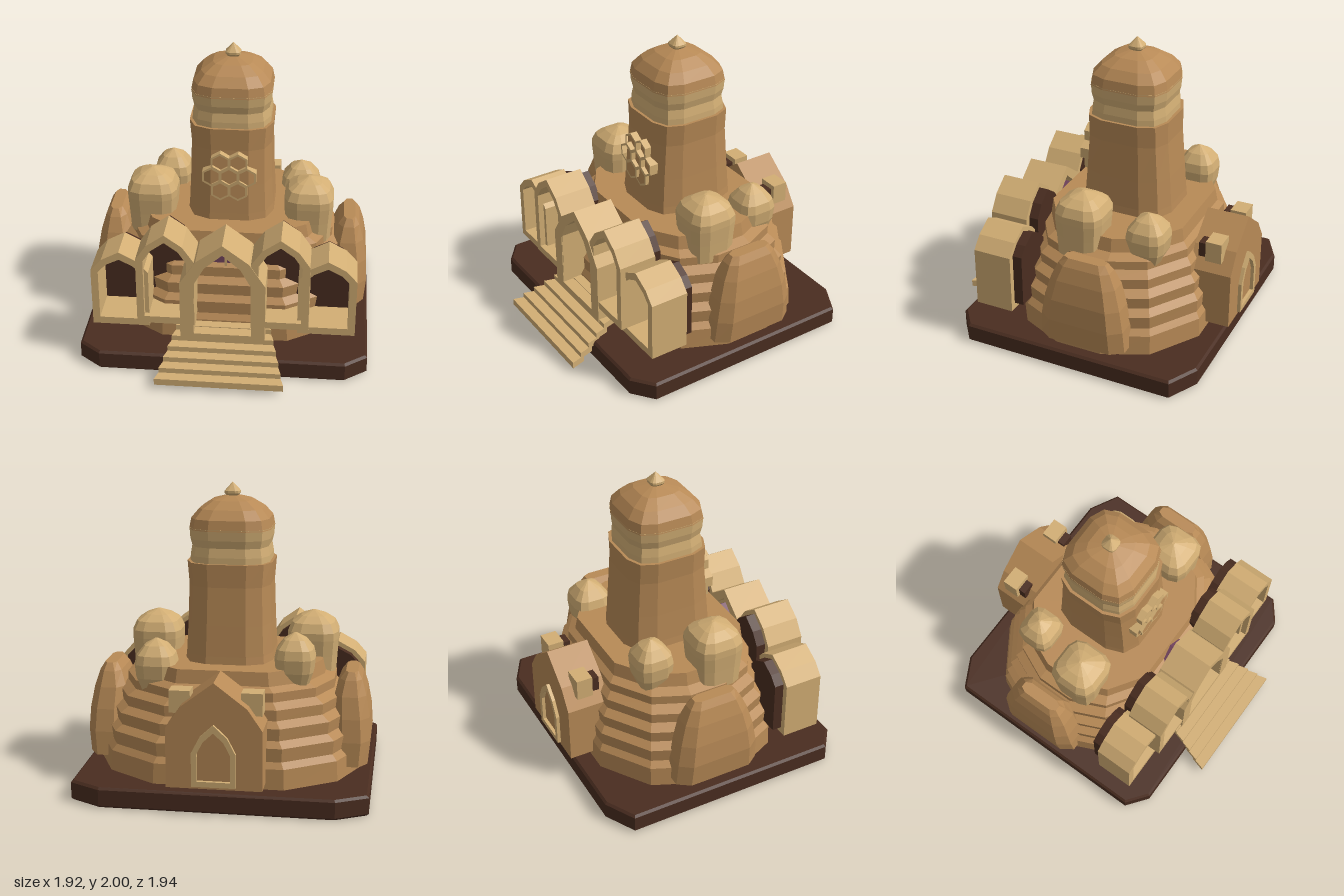
import * as THREE from 'three';

const mat = (color) => new THREE.MeshStandardMaterial({ color, flatShading: true });
const clay = mat(0xb88a56), sand = mat(0xd2ae74), dark = mat(0x4a2d20), plum = mat(0x74455f);

// Mirrors a quarter outline [x, z] (running from the +x side to the +z side) into a full ring
function ring(quarter) {
  const back = [...quarter].reverse();
  return [
    ...quarter,
    ...back.map(([x, z]) => [-x, z]),
    ...quarter.map(([x, z]) => [-x, -z]),
    ...back.map(([x, z]) => [x, -z]),
  ];
}
const BODY = ring([[1, 0.24], [0.85, 0.68], [0.48, 1]]);
const ROUND = ring([[1, 0.46], [0.84, 0.84], [0.46, 1]]);
const FIN = ring([[1, 0.72], [0.5, 1]]);

// Skins rows of [y, halfX, halfZ, offsetX] over a ring, with closed ends
function loft(section, rows) {
  const n = section.length, pos = [], idx = [];
  rows.forEach(([y, hx, hz, ox = 0]) => section.forEach(([x, z]) => pos.push(ox + x * hx, y, z * hz)));
  for (let r = 0; r < rows.length - 1; r++) {
    for (let i = 0; i < n; i++) {
      const a = r * n + i, b = r * n + (i + 1) % n;
      idx.push(a, a + n, b, b, a + n, b + n);
    }
  }
  const last = rows.length - 1, bottom = pos.length / 3, top = bottom + 1;
  pos.push(rows[0][3] || 0, rows[0][0], 0, rows[last][3] || 0, rows[last][0], 0);
  for (let i = 0; i < n; i++) {
    const j = (i + 1) % n;
    idx.push(bottom, i, j, top, last * n + j, last * n + i);
  }
  const g = new THREE.BufferGeometry();
  g.setAttribute('position', new THREE.Float32BufferAttribute(pos, 3));
  g.setIndex(idx);
  const flat = g.toNonIndexed();
  flat.computeVertexNormals();
  return flat;
}

// Pointed arch outline: half width, floor, springing height, apex height
const archPoints = (w, y0, ys, yt) => {
  const ym = ys + (yt - ys) * 0.56;
  return [[-w, y0], [w, y0], [w, ys], [w * 0.62, ym], [0, yt], [-w * 0.62, ym], [-w, ys]]
    .map(([x, y]) => new THREE.Vector2(x, y));
};

// Extrudes an outline between two depths, with an optional hole
function slab(points, z0, z1, hole) {
  const shape = new THREE.Shape(points);
  if (hole) shape.holes.push(new THREE.Path(hole));
  return new THREE.ExtrudeGeometry(shape, { depth: z1 - z0, bevelEnabled: false }).translate(0, 0, z0);
}

export function createModel() {
  const model = new THREE.Group();
  const add = (name, geometry, material, x = 0, y = 0, z = 0, parent = model) => {
    const m = new THREE.Mesh(geometry, material);
    m.name = name;
    m.position.set(x, y, z);
    parent.add(m);
    return m;
  };
  const box = (w, h, d) => new THREE.BoxGeometry(w, h, d);

  // Base slab with cut corners and a slim bevel
  const plan = [[-0.81, -0.765], [0.81, -0.765], [0.945, -0.66], [0.945, 0.79], [0.75, 0.895],
    [-0.75, 0.895], [-0.945, 0.79], [-0.945, -0.66]].map(([x, y]) => new THREE.Vector2(x, y));
  const base = new THREE.ExtrudeGeometry(new THREE.Shape(plan),
    { depth: 0.105, bevelSize: 0.015, bevelThickness: 0.015, bevelSegments: 1 });
  add('baseSlab', base.rotateX(-Math.PI / 2), dark, 0, 0.015, 0);

  // Rippled, terraced main body
  add('terracedBody', loft(BODY, [
    [0.12, 0.88, 0.665], [0.27, 0.87, 0.66], [0.31, 0.835, 0.635], [0.4, 0.845, 0.64],
    [0.44, 0.795, 0.605], [0.52, 0.805, 0.61], [0.56, 0.75, 0.57], [0.63, 0.755, 0.57],
    [0.67, 0.695, 0.53], [0.73, 0.695, 0.53], [0.76, 0.63, 0.49], [0.85, 0.61, 0.475],
  ]), clay, 0, 0, -0.12);

  // Central tower, collar, dome and finial
  add('tower', loft(ROUND, [
    [0.8, 0.295, 0.325], [0.9, 0.285, 0.315], [1.1, 0.275, 0.3], [1.35, 0.268, 0.28], [1.5, 0.28, 0.28],
  ]), clay, 0, 0, -0.13);
  add('towerCollar', loft(ROUND, [
    [1.49, 0.262, 0.262], [1.54, 0.26, 0.26], [1.6, 0.25, 0.25], [1.65, 0.262, 0.262], [1.72, 0.267, 0.267],
  ]), sand, 0, 0, -0.13);
  add('towerDome', loft(ROUND, [
    [1.71, 0.268, 0.268], [1.78, 0.255, 0.255], [1.84, 0.205, 0.205], [1.89, 0.13, 0.13], [1.92, 0.03, 0.03],
  ]), clay, 0, 0, -0.13);
  add('finial', loft(ROUND, [
    [1.91, 0.035, 0.035], [1.93, 0.05, 0.05], [1.945, 0.05, 0.05], [2, 0.002, 0.002],
  ]), sand, 0, 0, -0.13);

  // Honeycomb lattice on the tower front
  const lattice = new THREE.Group();
  lattice.name = 'honeycombLattice';
  model.add(lattice);
  const hex = (r) => Array.from({ length: 6 }, (_, i) =>
    new THREE.Vector2(Math.sin(i * Math.PI / 3) * r, Math.cos(i * Math.PI / 3) * r));
  const cell = slab(hex(0.071), 0.09, 0.2, hex(0.056));
  add('hexCell', cell, sand, 0, 1.175, 0, lattice);
  for (let i = 0; i < 6; i++) {
    const a = i * Math.PI / 3;
    add('hexCell', cell, sand, Math.cos(a) * 0.118, 1.175 + Math.sin(a) * 0.118, 0, lattice);
  }

  // Four small domes on the terrace: [x, z, radius, top]
  const wide = [[0.7, 0.9], [0.84, 0.95], [0.95, 1], [1.0, 1], [1.06, 0.84], [1.1, 0.5], [1.13, 0.06]];
  const bulb = [[0.64, 0.45], [0.78, 0.68], [0.88, 0.93], [0.97, 1], [1.03, 0.9], [1.09, 0.55], [1.13, 0.06]];
  [[-0.535, 0, 0.168, 1.135, wide], [0.53, 0, 0.166, 1.11, wide],
    [-0.45, -0.41, 0.13, 1.075, bulb], [0.46, -0.43, 0.135, 1.01, bulb]].forEach(([x, z, r, top, rows]) => {
    add('smallDome', loft(ROUND, rows.map(([y, k]) => [y + top - 1.13, r * k, r * k])), sand, x, 0, z);
  });

  // Curved side buttresses: outer face and half length by height
  const fin = [[0.19, 0.93, 0.3], [0.35, 0.945, 0.29], [0.5, 0.935, 0.265], [0.64, 0.91, 0.225],
    [0.74, 0.88, 0.18], [0.79, 0.85, 0.145]];
  for (const s of [-1, 1]) {
    add('sideButtress', loft(FIN, fin.map(([y, out, hz], i) => {
      const inner = i < 4 ? 0.7 : 0.7 + (i - 3) * 0.035;
      return [y, (out - inner) / 2, hz, s * (out + inner) / 2];
    })), clay, 0, 0, -0.15);
  }

  // Front arcade: deep pointed arches, dark panels behind the side ones
  add('entranceArch', slab(archPoints(0.28, 0.2, 0.64, 0.935), 0.4, 0.685, archPoints(0.19, 0.255, 0.63, 0.865)), sand);
  const bays = [
    { name: 'innerArch', x: 0.375, w: 0.19, y0: 0.32, ys: 0.8, yt: 0.99, z0: 0.415, z1: 0.68 },
    { name: 'outerArch', x: 0.68, w: 0.19, y0: 0.27, ys: 0.68, yt: 0.825, z0: 0.375, z1: 0.64 },
  ];
  for (const b of bays) {
    const frame = slab(archPoints(b.w, b.y0, b.ys, b.yt), b.z0, b.z1,
      archPoints(b.w - 0.048, b.y0 + 0.05, b.ys - 0.01, b.yt - 0.055));
    const panel = slab(archPoints(b.w - 0.04, b.y0 + 0.045, b.ys, b.yt - 0.035), b.z0 - 0.065, b.z0 + 0.01);
    for (const s of [-1, 1]) {
      add(b.name, frame, sand, s * b.x);
      add(b.name + 'Panel', panel, dark, s * b.x);
    }
  }

  // Pointed window with a centre bar, set in the terrace front
  const pane = [[-0.15, 0.64], [0.15, 0.64], [0.1, 0.75], [0, 0.825], [-0.1, 0.75]]
    .map(([x, y]) => new THREE.Vector2(x, y));
  add('entranceWindow', slab(pane, 0.3, 0.425), plum);
  add('windowBar', box(0.015, 0.13, 0.02), sand, 0, 0.685, 0.43);

  // Flared front staircase
  for (let i = 0; i < 6; i++) {
    const z1 = 0.97 - i * 0.073, z0 = z1 - 0.1;
    const half = (z) => 0.34 + (z - 0.68) * 0.28;
    const tread = [[-half(z1), -z1], [half(z1), -z1], [half(z0), -z0], [-half(z0), -z0]]
      .map(([x, y]) => new THREE.Vector2(x, y));
    add('step', slab(tread, 0, 0.046).rotateX(-Math.PI / 2), sand, 0, 0.034 + i * 0.036, 0);
  }

  // Gabled rear porch with a framed doorway
  const gable = [[-0.305, 0.18], [0.305, 0.18], [0.305, 0.57], [0.21, 0.71], [0, 0.87], [-0.21, 0.71], [-0.305, 0.57]]
    .map(([x, y]) => new THREE.Vector2(x, y));
  add('rearPorch', slab(gable, -0.945, -0.655), clay);
  add('rearDoorFrame', slab(archPoints(0.14, 0.2, 0.42, 0.605), -0.968, -0.94, archPoints(0.105, 0.235, 0.415, 0.555)), sand);

  // Little roof vents on the porch
  for (const s of [-1, 1]) {
    add('roofVent', box(0.135, 0.145, 0.11), sand, s * 0.228, 0.718, -0.815);
    add('ventOpening', box(0.09, 0.1, 0.05), dark, s * 0.228, 0.71, -0.73);
  }

  return model;
}
